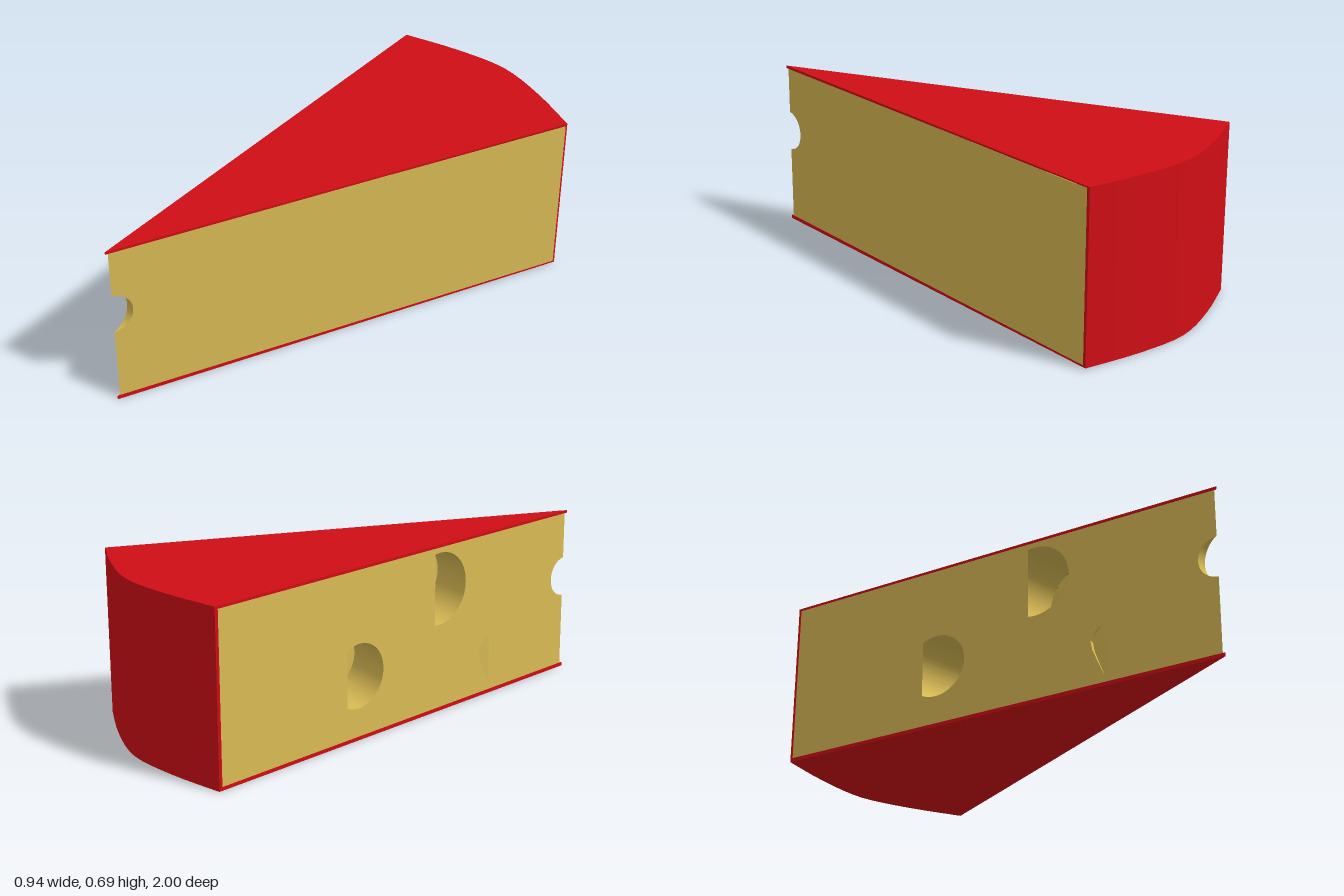
import * as THREE from 'three';
import { toCreasedNormals } from 'three/addons/utils/BufferGeometryUtils.js';

const TIP = 0.988, BACK = -0.876, LOW = 0.015, HIGH = 0.677, SLOPE = 0.2507;
const leftX = z => -SLOPE * (TIP - z); // cut face on the -x side
const rightX = z => SLOPE * (TIP - z);

export function createModel() {
  const group = new THREE.Group();
  const cheese = new THREE.MeshStandardMaterial({ color: 0xd8ba54, side: THREE.DoubleSide });
  const red = new THREE.MeshStandardMaterial({ color: 0xcf0e15 });

  const add = (name, geometry, material, parent = group) => {
    const mesh = new THREE.Mesh(geometry, material);
    mesh.name = name;
    parent.add(mesh);
    return mesh;
  };

  // Points (z, y) on an arc
  const arc = (z, y, r, from, to, n = 40) => Array.from({ length: n + 1 }, (_, i) => {
    const t = from + (to - from) * i / n;
    return new THREE.Vector2(z + r * Math.cos(t), y + r * Math.sin(t));
  });

  // Flat sheet drawn in (z, y) and placed at x = fx(z); faces -x, or +x when flipped
  const sheet = (shape, fx, flip = false) => {
    const g = new THREE.ShapeGeometry(shape);
    const p = g.attributes.position;
    for (let i = 0; i < p.count; i++) {
      const z = p.getX(i);
      p.setXYZ(i, fx(z), p.getY(i), z);
    }
    if (flip) g.index.array.reverse();
    g.computeVertexNormals();
    return g;
  };

  // Hole wall spanning x = from(z) to x = to(z) along a line of (z, y) points
  const wall = (points, from, to) => {
    const pos = [], index = [];
    points.forEach((p, i) => {
      pos.push(from(p.x), p.y, p.x, to(p.x), p.y, p.x);
      if (i) {
        const a = 2 * i - 2;
        index.push(a, a + 2, a + 1, a + 1, a + 2, a + 3);
      }
    });
    const g = new THREE.BufferGeometry();
    g.setAttribute('position', new THREE.Float32BufferAttribute(pos, 3));
    g.setIndex(index);
    g.computeVertexNormals();
    return toCreasedNormals(g, 0.6);
  };

  // Cut faces, with a round bite taken out of the tip
  const bite = { z: 0.995, y: 0.402, r: 0.083 };
  const biteAngle = Math.acos((TIP - bite.z) / bite.r);
  const biteArc = arc(bite.z, bite.y, bite.r, biteAngle, 2 * Math.PI - biteAngle);
  const outline = () => new THREE.Shape([
    new THREE.Vector2(BACK, LOW), new THREE.Vector2(TIP, LOW),
    ...biteArc.slice().reverse(),
    new THREE.Vector2(TIP, HIGH), new THREE.Vector2(BACK, HIGH),
  ]);
  add('rightCutFace', sheet(outline(), rightX, true), cheese);
  add('tipBite', wall(biteArc, leftX, rightX), cheese);

  const leftFace = outline();
  const holes = new THREE.Group();
  holes.name = 'holes';
  group.add(holes);

  // Undercut round cavities, each opening as a D on the cut face
  for (const [z, y, r, mouth, deep] of [
    [0.238, 0.508, 0.147, -0.195, 0.05],
    [-0.2, 0.259, 0.129, -0.313, -0.05],
  ]) {
    const chord = Math.acos((TIP + mouth / SLOPE - z) / r);
    const opening = arc(z, y, r, -chord, chord);
    const hidden = arc(z, y, r, chord, 2 * Math.PI - chord);
    leftFace.holes.push(new THREE.Path(opening));
    add('cavityFrontWall', wall(opening, leftX, () => deep), cheese, holes);
    add('cavityBackWall', wall(hidden, () => mouth, () => deep), cheese, holes);
    add('cavityLip', sheet(new THREE.Shape(hidden), () => mouth, true), cheese, holes);
    add('cavityEnd', sheet(new THREE.Shape(arc(z, y, r, 0, 2 * Math.PI).slice(0, -1)), () => deep),
      cheese, holes);
  }

  // Shallow nick with a flat inner side
  const nickDepth = -0.115, nickZ = TIP + nickDepth / SLOPE;
  const nick = [[nickZ, 0.255], [0.493, 0.23], [0.472, 0.195], [0.48, 0.155], [0.503, 0.1], [nickZ, 0.04]]
    .map(p => new THREE.Vector2(...p));
  leftFace.holes.push(new THREE.Path(nick));
  add('nickWall', wall(nick, leftX, () => nickDepth), cheese, holes);
  add('nickSide', sheet(new THREE.Shape(nick), () => nickDepth), cheese, holes);
  add('leftCutFace', sheet(leftFace, leftX), cheese);

  // Rind: top and bottom plates and a curved back, thinning slightly toward +x
  const backCurve = inset => new THREE.SplineCurve(
    [[-0.468, -0.882], [-0.235, -0.958], [0, -1], [0.235, -0.96], [0.466, -0.886]]
      .map(([x, z]) => new THREE.Vector2(x, -(z + inset)))).getPoints(16);
  const slab = (points, bottom, top) => {
    const g = new THREE.ExtrudeGeometry(new THREE.Shape(points), { depth: top - bottom, bevelEnabled: false });
    g.rotateX(-Math.PI / 2).translate(0, bottom, 0);
    const p = g.attributes.position;
    for (let i = 0; i < p.count; i++) {
      const y = p.getY(i), taper = 0.005 * Math.max(0, p.getX(i)) / 0.467;
      if (y > 0.68) p.setY(i, y - taper);
      if (y < 0.01) p.setY(i, y + taper);
    }
    return toCreasedNormals(g, 0.5);
  };
  const wedge = [new THREE.Vector2(0, -1), ...backCurve(0).reverse()];
  const band = [...backCurve(0), ...backCurve(0.012).reverse()];
  add('topRind', slab(wedge, HIGH, 0.688), red);
  add('bottomRind', slab(wedge, 0, LOW), red);
  add('backRind', slab(band, LOW, HIGH), red);

  return group;
}
